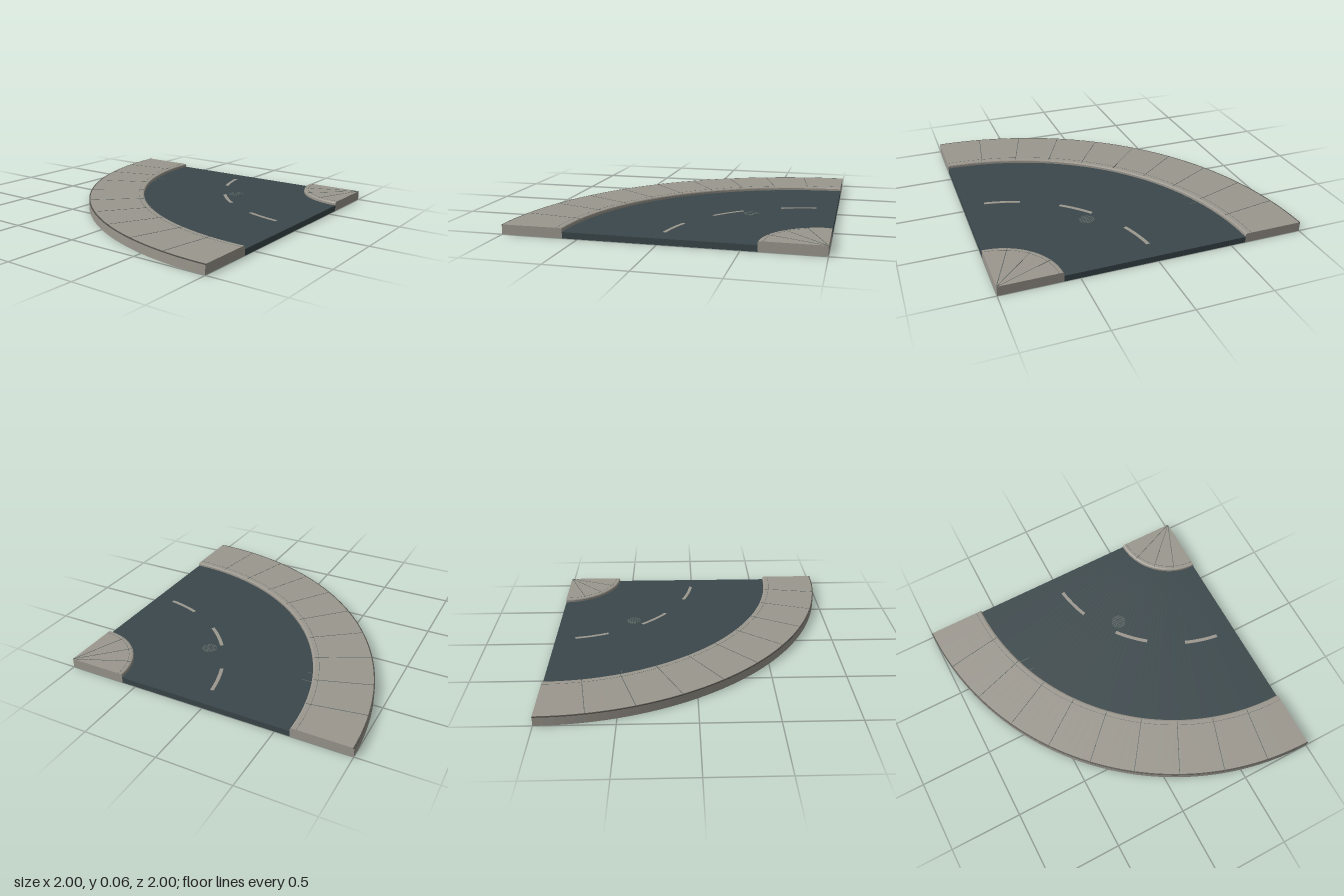
import * as THREE from 'three';

const mat = (name, color) => {
  const m = new THREE.MeshStandardMaterial({ color });
  m.name = name;
  return m;
};

export function createModel() {
  const group = new THREE.Group();
  group.name = 'roadCurve';
  const paving = mat('paving stone', 0x9b978e);
  const asphalt = mat('asphalt', 0x3a474b);
  const joint = mat('joint grey', 0x5c6562);
  const edge = mat('dark edge', 0x54524d);
  const ROAD = 0.04, TOP = 0.064;

  const add = (name, geo, material, parent = group) => {
    const mesh = new THREE.Mesh(geo, material);
    mesh.name = name;
    parent.add(mesh);
    return mesh;
  };

  // Sweep a (radius, height) profile about the corner at x = 1, z = -1; degrees
  const sweep = (profile, from = 0, to = 90, steps = 48) => {
    const shape = new THREE.Shape(profile.map(([r, y]) => new THREE.Vector2(r, y)));
    let geo = new THREE.ExtrudeGeometry(shape, { depth: 1, steps, bevelEnabled: false });
    const p = geo.attributes.position;
    for (let i = 0; i < p.count; i++) {
      const a = THREE.MathUtils.degToRad(to - (to - from) * p.getZ(i));
      const r = p.getX(i);
      p.setXYZ(i, 1 - r * Math.cos(a), p.getY(i), -1 + r * Math.sin(a));
    }
    if (geo.index) geo = geo.toNonIndexed();
    geo.computeVertexNormals();
    return geo;
  };
  const band = (r0, r1, y0, y1) => [[r0, y0], [r1, y0], [r1, y1], [r0, y1]];

  // Road surface
  add('road', sweep(band(0.4, 1.6, 0, ROAD)), asphalt);

  // Outer and inner pavements, with bevelled kerb edges towards the road
  add('outerPavement', sweep([[1.6, 0], [2, 0], [2, 0.059], [1.992, 0.059], [1.992, TOP],
    [1.612, TOP], [1.603, 0.061], [1.6, 0.055]]), paving);
  add('outerRim', sweep(band(1.992, 2, 0.059, TOP)), edge);
  add('innerPavement', sweep([[0.001, 0], [0.4, 0], [0.4, 0.055], [0.397, 0.061],
    [0.388, TOP], [0.001, TOP]], 0, 90, 24), paving);

  // Kerb seams
  add('outerKerbSeam', sweep(band(1.639, 1.641, TOP - 0.001, TOP + 0.0005)), joint);
  add('innerKerbSeam', sweep(band(0.369, 0.371, TOP - 0.001, TOP + 0.0005), 0, 90, 24), joint);

  // Radial joints between the paving slabs
  const radialJoint = (name, r0, r1, deg) => {
    const a = THREE.MathUtils.degToRad(deg), r = (r0 + r1) / 2;
    const m = add(name, new THREE.BoxGeometry(r1 - r0, 0.0015, 0.004), joint);
    m.position.set(1 - r * Math.cos(a), TOP + 0.00025, -1 + r * Math.sin(a));
    m.rotation.y = a;
  };
  for (let i = 1; i < 10; i++) radialJoint('outerJoint', 1.61, 1.99, i * 9);
  for (let i = 1; i < 4; i++) radialJoint('innerJoint', 0.005, 0.39, i * 22.5);

  // Dashed centre line
  for (const mid of [15, 45, 75]) {
    add('laneDash', sweep(band(0.988, 1.012, ROAD - 0.001, ROAD + 0.002), mid - 7, mid + 7, 8), paving);
  }

  // Manhole cover with a grid of grooves
  const manhole = new THREE.Group();
  manhole.name = 'manhole';
  manhole.position.set(0.27, ROAD, -0.45);
  group.add(manhole);
  add('manholeCover', new THREE.CylinderGeometry(0.05, 0.05, 0.004, 24), joint, manhole);
  for (let i = -2; i <= 2; i++) {
    const t = i * 0.017, len = 2 * Math.sqrt(0.047 ** 2 - t * t);
    add('groove', new THREE.BoxGeometry(len, 0.001, 0.004), asphalt, manhole).position.set(0, 0.0022, t);
    add('groove', new THREE.BoxGeometry(0.004, 0.001, len), asphalt, manhole).position.set(t, 0.0022, 0);
  }

  // Gutter drain bars beside the outer kerb
  for (const z of [-0.5, -0.41]) {
    const x0 = 1 - Math.sqrt(1.6 ** 2 - (z + 1) ** 2);
    add('drainBar', new THREE.BoxGeometry(-0.45 - x0, 0.002, 0.005), joint)
      .position.set((x0 - 0.45) / 2, ROAD + 0.001, z);
  }

  return group;
}
